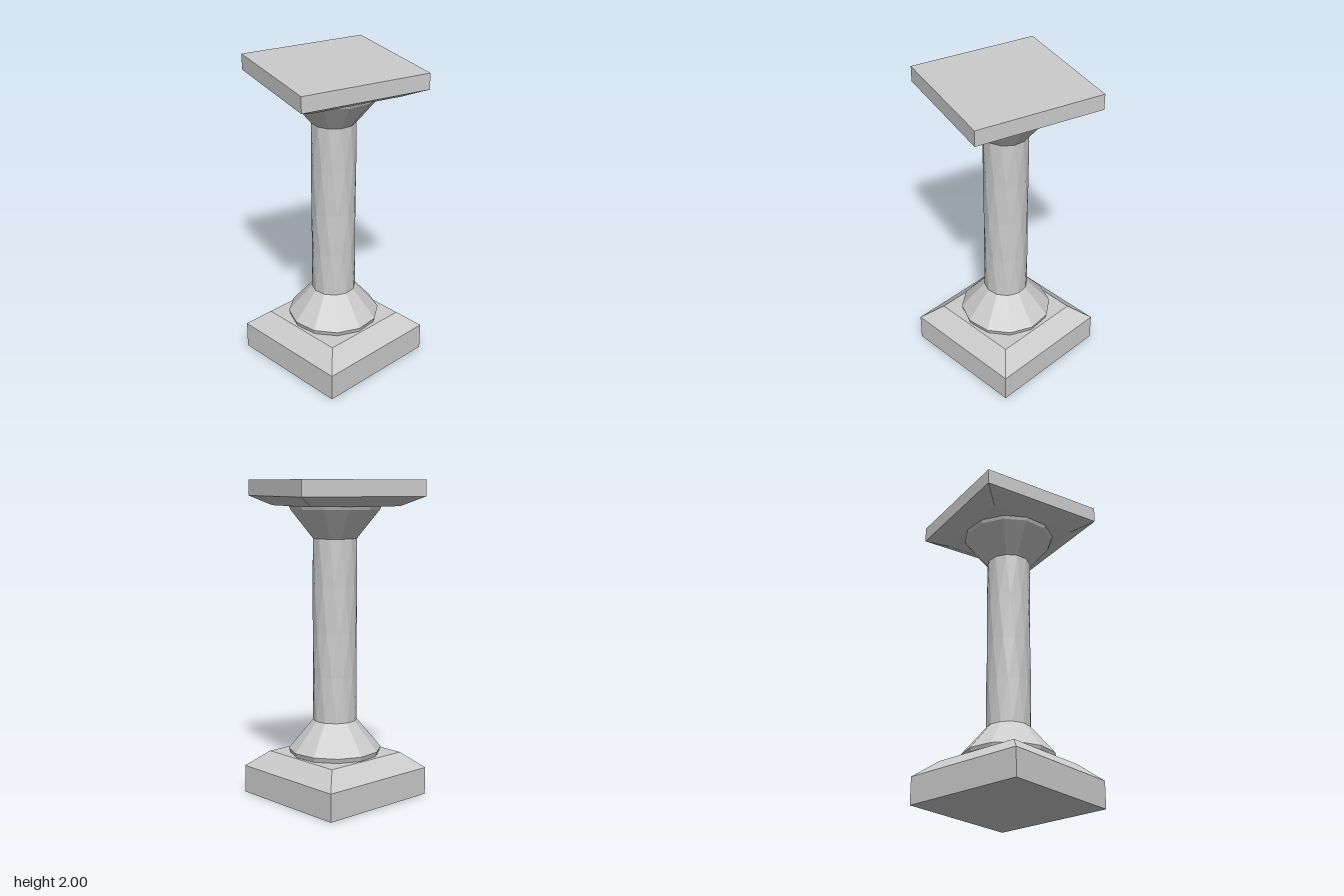
import * as THREE from 'three';

const material = new THREE.MeshStandardMaterial({ color: 0xcccccc, flatShading: true });
const TWIST = THREE.MathUtils.degToRad(73.5); // total turn from foot to top

// Faceted solid from [radius, y] rings; each ring may be turned by turnAt(y)
function faceted(name, rings, sides, start, turnAt = () => 0) {
  const points = rings.map(([r, y]) => new THREE.Vector2(r, y));
  const geometry = new THREE.LatheGeometry(points, sides, start);
  const pos = geometry.attributes.position;
  const axis = new THREE.Vector3(0, 1, 0);
  const v = new THREE.Vector3();
  for (let i = 0; i < pos.count; i++) {
    v.fromBufferAttribute(pos, i).applyAxisAngle(axis, turnAt(v.y));
    pos.setXYZ(i, v.x, v.y, v.z);
  }
  const flat = geometry.toNonIndexed();
  flat.computeVertexNormals();
  const mesh = new THREE.Mesh(flat, material);
  mesh.name = name;
  return mesh;
}

// Square slab from [halfWidth, y] levels, closed at both ends
function slab(name, levels) {
  const rings = levels.map(([h, y]) => [h * Math.SQRT2, y]);
  rings.unshift([0, levels[0][1]]);
  rings.push([0, levels[levels.length - 1][1]]);
  return faceted(name, rings, 4, Math.PI / 4);
}

export function createModel() {
  const column = new THREE.Group();
  column.name = 'twistedColumn';

  // Square foot with sloped upper edge
  column.add(slab('base', [[0.41, 0], [0.41, 0.175], [0.295, 0.275]]));

  // Twelve-sided parts share the same starting angle
  const start = THREE.MathUtils.degToRad(-9);
  const bottom = 0.49, top = 1.64;
  const turnAt = (y) => TWIST * THREE.MathUtils.clamp((y - bottom) / (top - bottom), 0, 1);

  // Flared collar on the foot
  column.add(faceted('lowerCollar',
    [[0, 0.275], [0.285, 0.275], [0.295, 0.305], [0.14, bottom]], 12, start));

  // Shaft in four twisted stages
  column.add(faceted('shaft',
    [bottom, 0.775, 1.05, 1.34, top].map((y) => [0.14, y]), 12, start, turnAt));

  // Flared collar under the top slab
  column.add(faceted('upperCollar',
    [[0.14, top], [0.285, 1.82], [0.295, 1.845], [0, 1.845]], 12, start, turnAt));

  // Top slab, turned with the twist
  const capital = slab('capital', [[0.295, 1.84], [0.41, 1.9], [0.41, 2]]);
  capital.rotation.y = TWIST;
  column.add(capital);

  return column;
}
